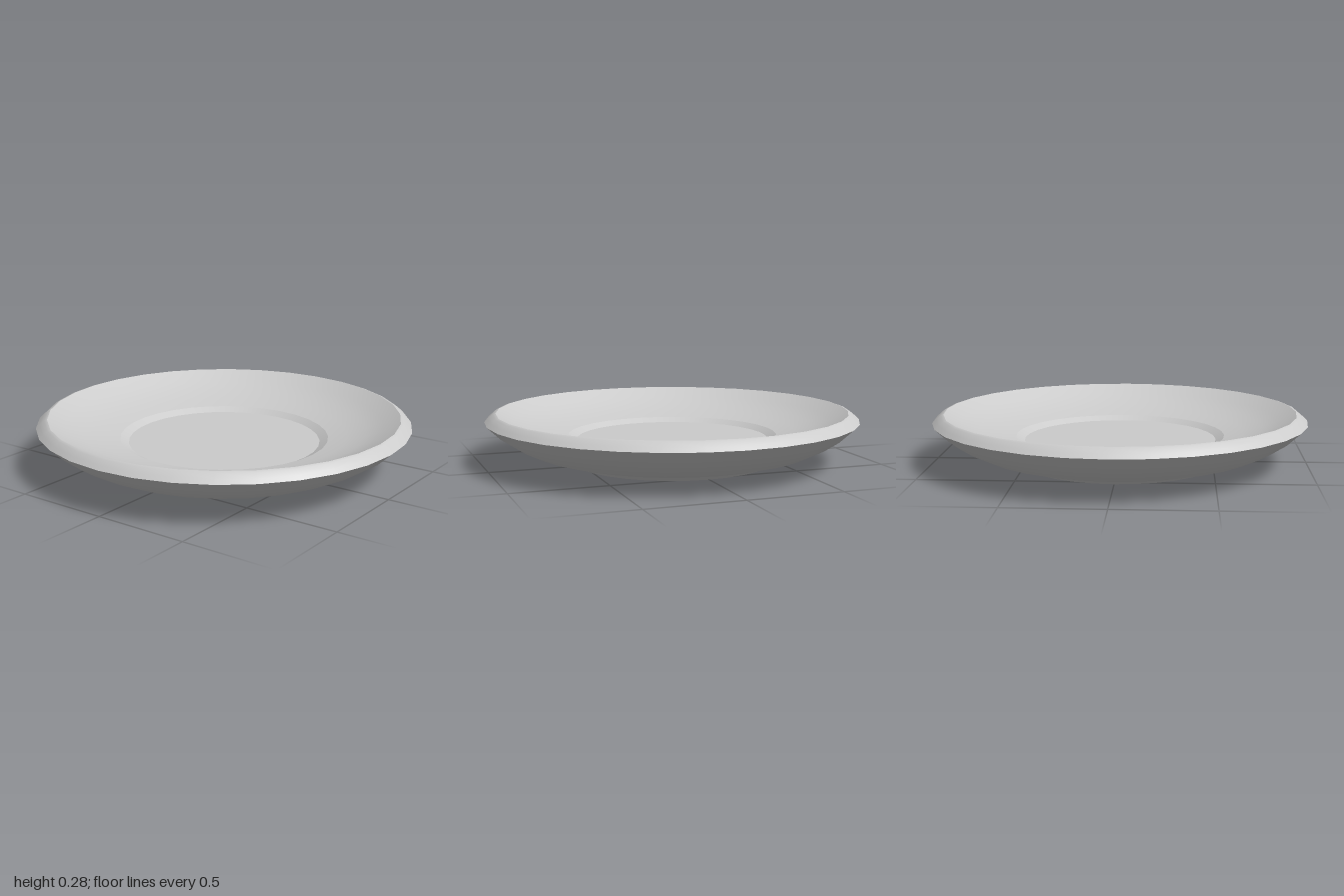
import * as THREE from 'three';

const SEGMENTS = 32;

// Each strip is a smooth lathe; strips meet at hard edges.
// Profiles run from the underside centre outward, over the rim and back in.
const strips = {
  footRecess: [[0, 0.04], [0.455, 0.04], [0.48, 0]],
  footBottom: [[0.48, 0], [0.54, 0]],
  footSide: [[0.54, 0], [0.585, 0.03]],
  underside: [[0.585, 0.03], [0.66, 0.042], [0.76, 0.07], [0.85, 0.113], [0.93, 0.165], [1, 0.23]],
  rim: [[1, 0.23], [0.98, 0.249], [0.955, 0.27], [0.94, 0.275]],
  bowl: [[0.94, 0.275], [0.85, 0.228], [0.76, 0.193], [0.66, 0.165], [0.56, 0.145]],
  wellStep: [[0.56, 0.145], [0.515, 0.122]],
  wellFloor: [[0.515, 0.122], [0, 0.122]],
};

export function createModel() {
  const plate = new THREE.Group();
  plate.name = 'plate';
  const material = new THREE.MeshStandardMaterial({ color: 0xcccccc });

  for (const [name, profile] of Object.entries(strips)) {
    const points = profile.map(([r, y]) => new THREE.Vector2(r, y));
    const mesh = new THREE.Mesh(new THREE.LatheGeometry(points, SEGMENTS), material);
    mesh.name = name;
    plate.add(mesh);
  }
  return plate;
}
